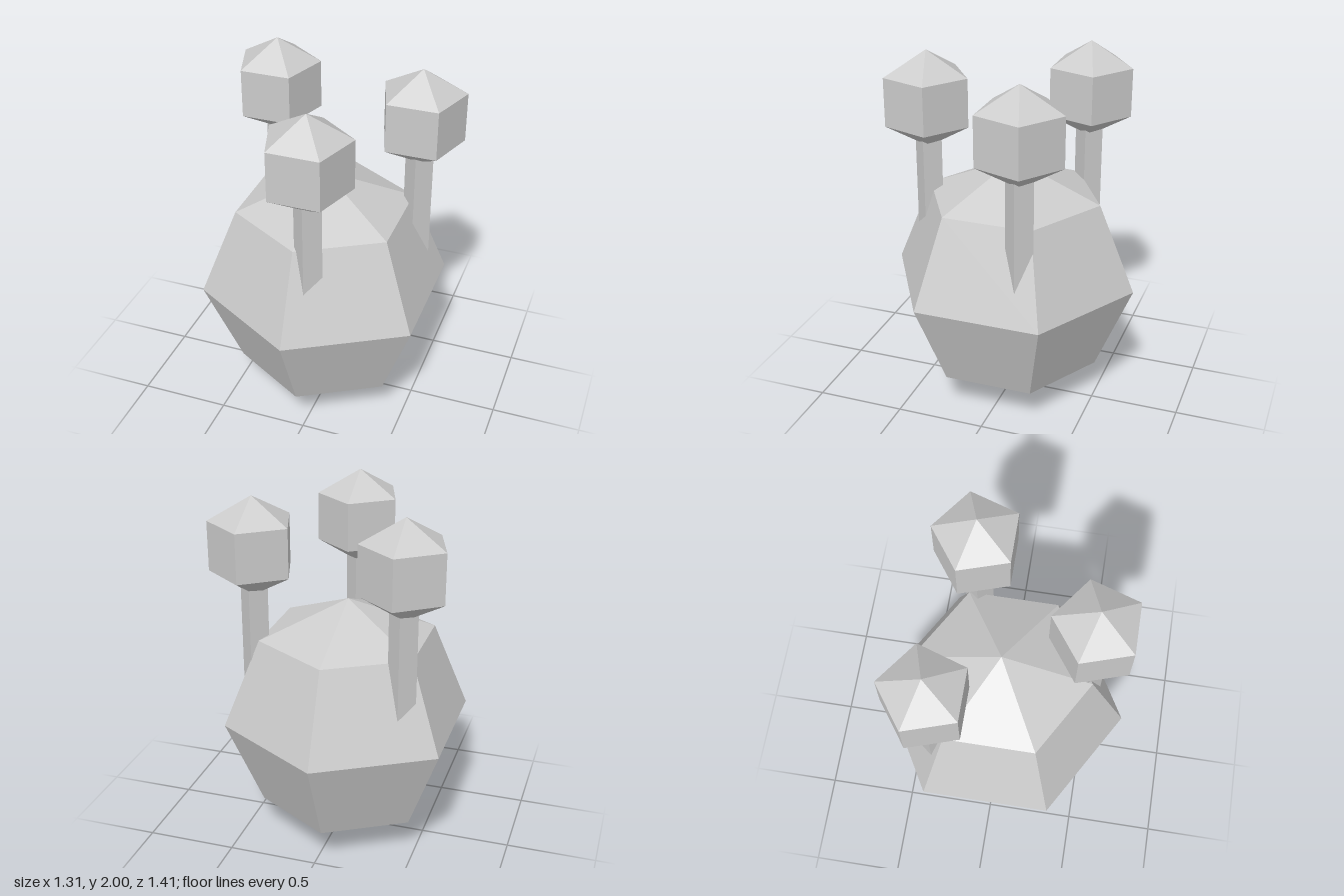
import * as THREE from 'three';

export function createModel() {
  const model = new THREE.Group();
  model.name = 'stalkedBulb';
  const material = new THREE.MeshStandardMaterial({ color: 0xcccccc, flatShading: true });

  function add(parent, name, geometry, x, y, z) {
    const mesh = new THREE.Mesh(geometry, material);
    mesh.name = name;
    mesh.position.set(x, y, z);
    parent.add(mesh);
    return mesh;
  }

  // Six-sided faceted body, with corners at the front and back
  const bodyGeometry = new THREE.SphereGeometry(0.705, 6, 4).rotateY(-Math.PI / 2);
  add(model, 'body', bodyGeometry, -0.04, 0.705, 0);

  // Three stalks, each a square stem topped by a five-sided knob
  const stemBottom = 0.7, stemTop = 1.6;
  const stemGeometry = new THREE.CylinderGeometry(0.078, 0.078, stemTop - stemBottom, 4);
  const knobGeometry = new THREE.SphereGeometry(0.274, 5, 3).rotateY(-Math.PI / 2);
  const stalks = [
    ['frontStalk', 0.036, 0.47],
    ['leftStalk', 0.428, -0.197],
    ['rightStalk', -0.432, -0.315],
  ];
  for (const [name, x, z] of stalks) {
    const stalk = new THREE.Group();
    stalk.name = name;
    stalk.position.set(x, 0, z);
    add(stalk, 'stem', stemGeometry, 0, (stemTop + stemBottom) / 2, 0);
    add(stalk, 'knob', knobGeometry, 0, 1.726, 0);
    model.add(stalk);
  }
  return model;
}
